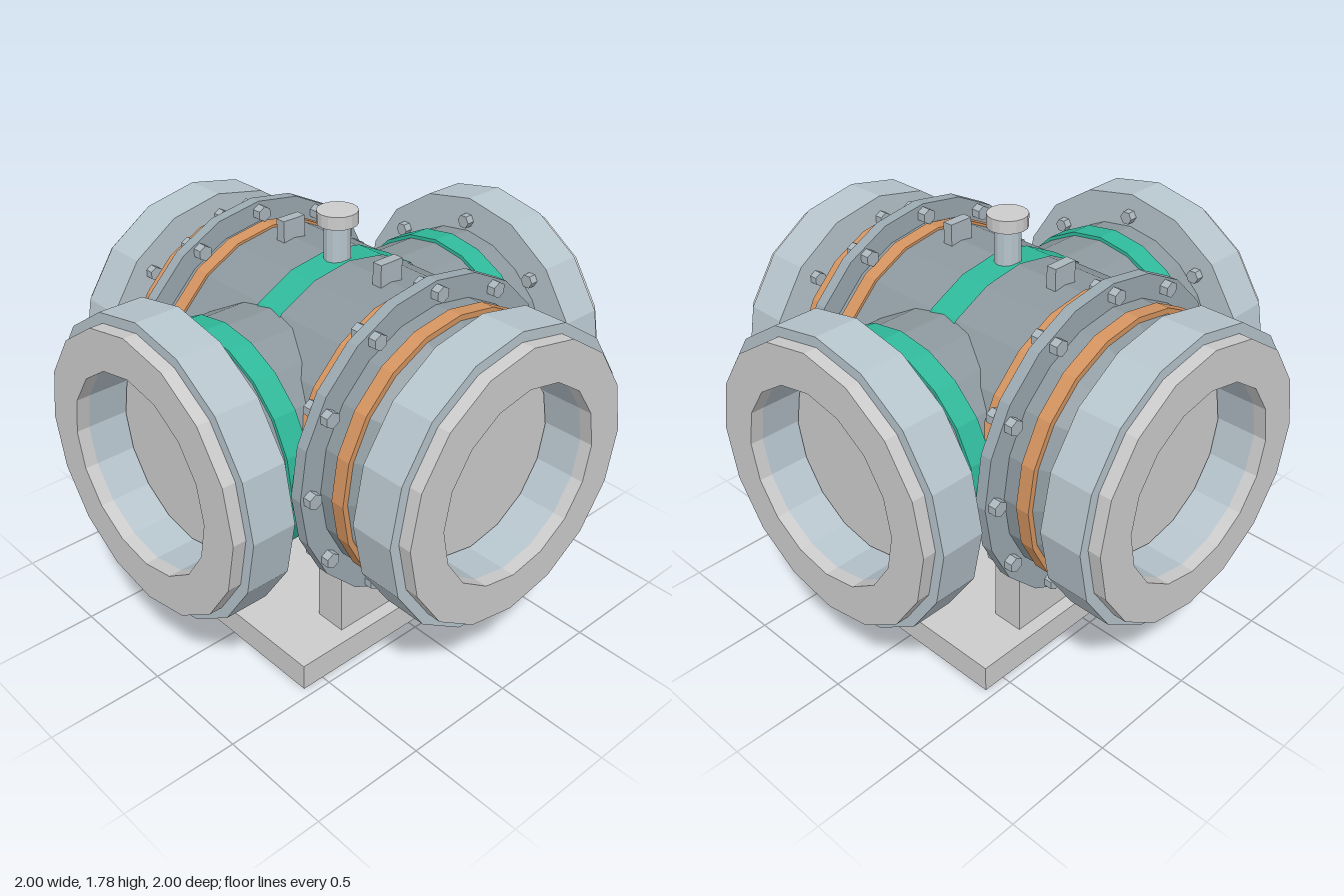
import * as THREE from 'three';

const mat = (color) => new THREE.MeshStandardMaterial({ color, flatShading: true, side: THREE.DoubleSide });
const GREY = mat(0xcccccc), STEEL = mat(0xb6c4cc), BODY = mat(0x8c989e), RING = mat(0x9aa8b0);
const TEAL = mat(0x2fb89a), COPPER = mat(0xd3935f), BOLT = mat(0xaab6bd);

function add(parent, name, geometry, material, x = 0, y = 0, z = 0) {
  const mesh = new THREE.Mesh(geometry, material);
  mesh.name = name;
  mesh.position.set(x, y, z);
  parent.add(mesh);
  return mesh;
}

// Surface turned around the local y axis from [radius, height] pairs
const turned = (pairs, sides) =>
  new THREE.LatheGeometry(pairs.map(([r, y]) => new THREE.Vector2(r, y)), sides);

// Solid ring with a rectangular section
const ring = (inner, outer, y0, y1, sides) =>
  turned([[inner, y0], [outer, y0], [outer, y1], [inner, y1], [inner, y0]], sides);

// Circle of hexagonal bolts
function boltCircle(parent, name, count, radius, size, y0, y1) {
  const geometry = new THREE.CylinderGeometry(size, size, y1 - y0, 6);
  for (let i = 0; i < count; i++) {
    const a = (i / count) * Math.PI * 2;
    add(parent, name, geometry, BOLT, Math.sin(a) * radius, (y0 + y1) / 2, Math.cos(a) * radius);
  }
}

// Heavy end flange with a recessed cover, pointing along local +y
function portEnd(parent) {
  add(parent, 'portFlange', ring(0.41, 0.617, 0.76, 0.945, 16), STEEL);
  add(parent, 'portRim', ring(0.41, 0.575, 0.945, 1, 16), GREY);
  add(parent, 'portCover', new THREE.CylinderGeometry(0.4, 0.4, 0.03, 16), GREY, 0, 0.765, 0);
  boltCircle(parent, 'portBolt', 8, 0.52, 0.03, 0.725, 0.765);
}

// Front and back ends of the main barrel
function barrelEnd() {
  const g = new THREE.Group();
  portEnd(g);
  add(g, 'dome', turned([[0.57, 0.48], [0.565, 0.6], [0.55, 0.66], [0.51, 0.7], [0.46, 0.745], [0.42, 0.77]], 20), BODY);
  add(g, 'innerBand', ring(0.54, 0.588, 0.395, 0.46, 20), COPPER);
  add(g, 'outerBand', ring(0.53, 0.573, 0.6, 0.66, 20), COPPER);
  add(g, 'jointRing', ring(0.54, 0.665, 0.485, 0.535, 20), RING);
  boltCircle(g, 'jointBolt', 12, 0.62, 0.033, 0.445, 0.57);
  return g;
}

// Side branch
function sideArm() {
  const g = new THREE.Group();
  portEnd(g);
  add(g, 'armPipe', turned([[0.47, 0.33], [0.47, 0.765]], 20), BODY);
  add(g, 'armBand', ring(0.45, 0.485, 0.56, 0.66, 20), TEAL);
  return g;
}

export function createModel() {
  const model = new THREE.Group();
  model.name = 'crossValve';

  // Pipe cross, centred one unit above the ground
  const cross = new THREE.Group();
  cross.name = 'pipeCross';
  cross.position.y = 1;
  model.add(cross);

  const barrel = add(cross, 'barrel', turned([[0.577, -0.49], [0.577, 0.49]], 20), BODY);
  barrel.rotation.x = Math.PI / 2;
  const band = add(cross, 'centreBand', turned([[0.583, -0.068], [0.583, 0.068]], 20), TEAL);
  band.rotation.x = Math.PI / 2;

  for (const s of [1, -1]) {
    const end = barrelEnd();
    end.name = s > 0 ? 'frontEnd' : 'backEnd';
    end.rotation.x = s * Math.PI / 2;
    cross.add(end);

    const arm = sideArm();
    arm.name = s > 0 ? 'leftArm' : 'rightArm';
    arm.rotation.z = -s * Math.PI / 2;
    cross.add(arm);

    // Lifting lug and support for each half
    add(model, 'lug', new THREE.BoxGeometry(0.11, 0.12, 0.045), BOLT, 0, 1.6, s * 0.28);
    add(model, 'support', new THREE.BoxGeometry(0.68, 0.42, 0.14), GREY, 0, 0.33, s * 0.33);
  }

  // Vent on top and base plate
  add(model, 'ventStem', new THREE.CylinderGeometry(0.055, 0.055, 0.2, 12), STEEL, 0, 1.63, 0);
  add(model, 'ventCap', new THREE.CylinderGeometry(0.083, 0.083, 0.053, 16), GREY, 0, 1.75, 0);
  add(model, 'basePlate', new THREE.BoxGeometry(1.2, 0.12, 0.92), GREY, 0, 0.06, 0);

  return model;
}
